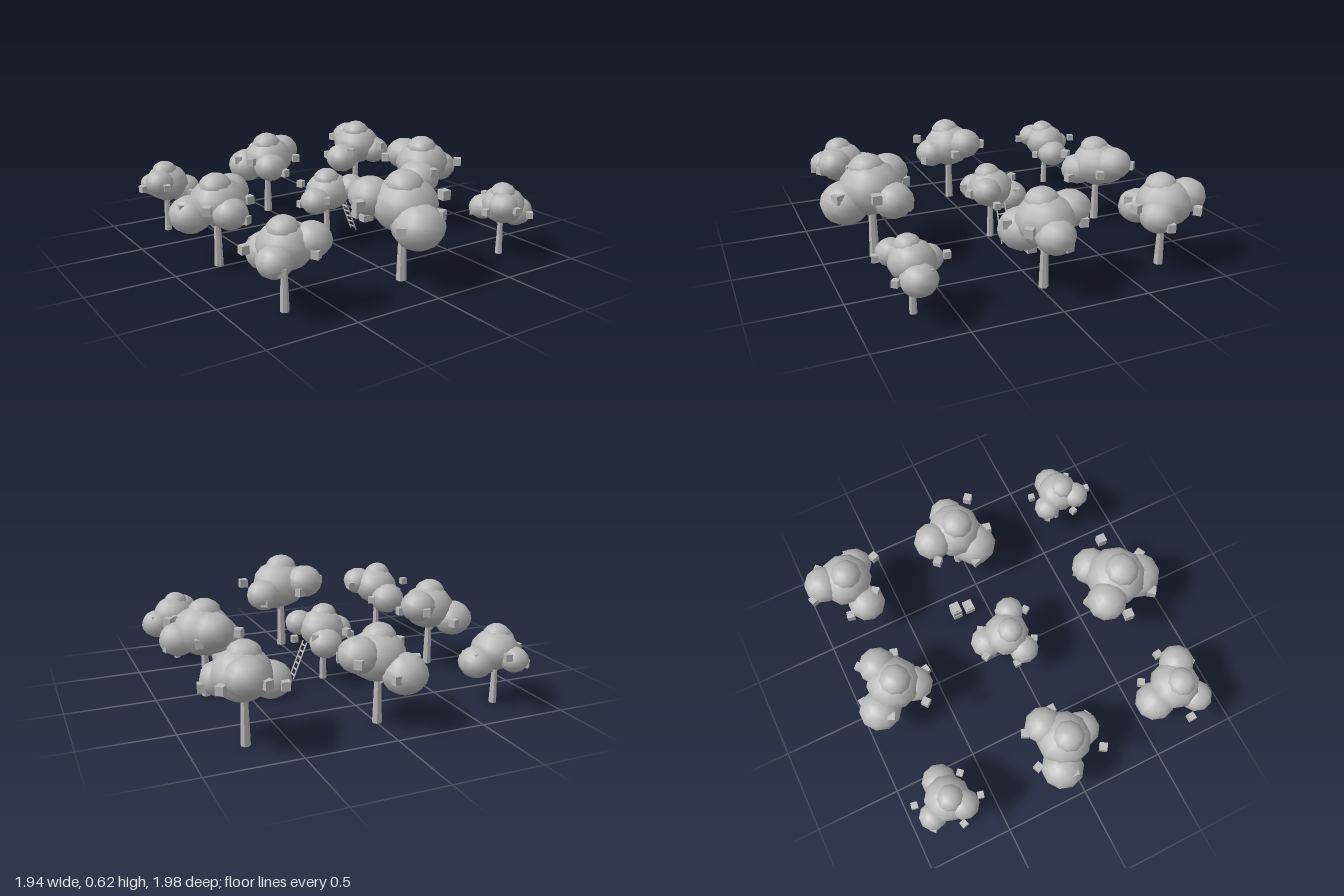
import * as THREE from 'three';

const grey = new THREE.MeshStandardMaterial({ color: 0xb8b8b8 });
grey.name = 'plain grey';
const facetedGeo = (g) => { const f = g.toNonIndexed(); f.computeVertexNormals(); return f; };

const blob = new THREE.SphereGeometry(1, 10, 8);
const box = new THREE.BoxGeometry(1, 1, 1);

function add(parent, name, geo, pos, scale = [1, 1, 1]) {
  const m = new THREE.Mesh(geo, grey);
  m.name = name;
  m.position.set(...pos);
  m.scale.set(...scale);
  parent.add(m);
  return m;
}

// Straight bar between two points
function bar(parent, name, a, b, r0, r1, sides) {
  const from = new THREE.Vector3(...a), dir = new THREE.Vector3(...b).sub(from);
  const geo = facetedGeo(new THREE.CylinderGeometry(r1, r0, dir.length(), sides));
  const m = add(parent, name, geo, from.clone().addScaledVector(dir, 0.5).toArray());
  m.quaternion.setFromUnitVectors(new THREE.Vector3(0, 1, 0), dir.normalize());
}

// Column, row, height, fruit angle in degrees, then low, high and middle lobes as [x, z, radius]
const trees = [
  [-1, -1, 0.45, -75, [[-0.605, -0.75, 0.1], [-0.795, -0.68, 0.087], [-0.77, -0.86, 0.08]]],
  [0, -1, 0.54, -38, [[-0.09, -0.88, 0.124], [0.125, -0.79, 0.111], [-0.045, -0.64, 0.106]]],
  [1, -1, 0.54, 74, [[0.56, -0.69, 0.111], [0.74, -0.88, 0.111], [0.81, -0.66, 0.103]]],
  [-1, 0, 0.54, -56, [[-0.855, -0.095, 0.122], [-0.61, -0.095, 0.108], [-0.71, 0.1, 0.103]]],
  [0, 0, 0.46, 62, [[0.025, -0.14, 0.1], [0.115, 0.05, 0.085], [-0.12, 0.03, 0.09]]],
  [1, 0, 0.565, 46, [[0.625, 0.06, 0.135], [0.7, -0.175, 0.116], [0.86, -0.015, 0.108]]],
  [-1, 1, 0.5, 0, [[-0.745, 0.57, 0.116], [-0.615, 0.77, 0.103], [-0.83, 0.79, 0.093]]],
  [0, 1, 0.615, 8, [[-0.02, 0.845, 0.143], [-0.125, 0.57, 0.119], [0.14, 0.615, 0.116]]],
  [1, 1, 0.43, -77, [[0.832, 0.7, 0.098], [0.647, 0.78, 0.082], [0.67, 0.6, 0.082]]],
];

function makeTree([col, row, h, angle, lobes]) {
  const tree = new THREE.Group();
  tree.name = 'tree';
  const x = col * 0.7225 - 0.006, z = row * 0.725 - 0.025;

  // Trunk with a short branch reaching to each lobe
  bar(tree, 'trunk', [x, 0, z], [x, h * 0.55, z], h * 0.049, h * 0.032, 7);
  const levels = [0.56, 0.745, 0.62];
  lobes.forEach(([lx, lz, r], i) => {
    const y = h * levels[i];
    bar(tree, 'branch', [x, h * 0.38, z], [(x + lx) / 2, y * 0.95, (z + lz) / 2], h * 0.018, h * 0.012, 5);
    add(tree, 'leafLobe', blob, [lx, y, lz], [r, r * 0.87, r]);
  });

  // Main foliage and crown
  const core = h * 0.292, top = h * 0.17;
  add(tree, 'foliage', blob, [x + 0.008, h * 0.69, z + 0.002], [core, core * 0.85, core]);
  add(tree, 'crown', blob, [x - 0.01, h - top * 0.82, z + 0.015], [top, top * 0.82, top]);

  // Six blocky fruits; two opposite ones hang clear of the leaves
  for (let k = 0; k < 6; k++) {
    const a = THREE.MathUtils.degToRad(angle + k * 61.5);
    const reach = h * [0.41, 0.355, 0.375][k % 3];
    const y = h * [0.72, 0.66, 0.565][k % 3];
    const fruit = add(tree, 'fruit', box, [x + reach * Math.cos(a), y, z + reach * Math.sin(a)],
      [h * 0.082, h * 0.085, h * 0.082]);
    fruit.rotation.y = -a + 0.1;
  }
  return tree;
}

function makeLadder() {
  const ladder = new THREE.Group();
  ladder.name = 'ladder';
  const foot = [0.203, 0.033], head = [0.115, 0.25];
  for (const z of [-0.068, -0.012]) {
    bar(ladder, 'ladderRail', [...foot, z], [...head, z], 0.005, 0.005, 4);
  }
  for (let i = 0; i < 6; i++) {
    const t = 0.1 + i * 0.16;
    const x = foot[0] + (head[0] - foot[0]) * t, y = foot[1] + (head[1] - foot[1]) * t;
    add(ladder, 'ladderRung', box, [x, y, -0.04], [0.007, 0.007, 0.056]);
  }
  return ladder;
}

function makeCrate(y, z) {
  const crate = new THREE.Group();
  crate.name = 'crate';
  add(crate, 'crateBody', box, [0, 0.021, 0], [0.072, 0.042, 0.058]);
  add(crate, 'crateLid', box, [0, 0.046, 0], [0.058, 0.01, 0.042]);
  crate.position.set(0.357, y, z);
  return crate;
}

export function createModel() {
  const model = new THREE.Group();
  model.name = 'orchard';
  trees.forEach((t) => model.add(makeTree(t)));
  model.add(makeLadder());
  // Two stacked crates and one beside them
  for (const [y, z] of [[0.035, -0.205], [0.09, -0.205], [0.035, -0.118]]) model.add(makeCrate(y, z));
  return model;
}
